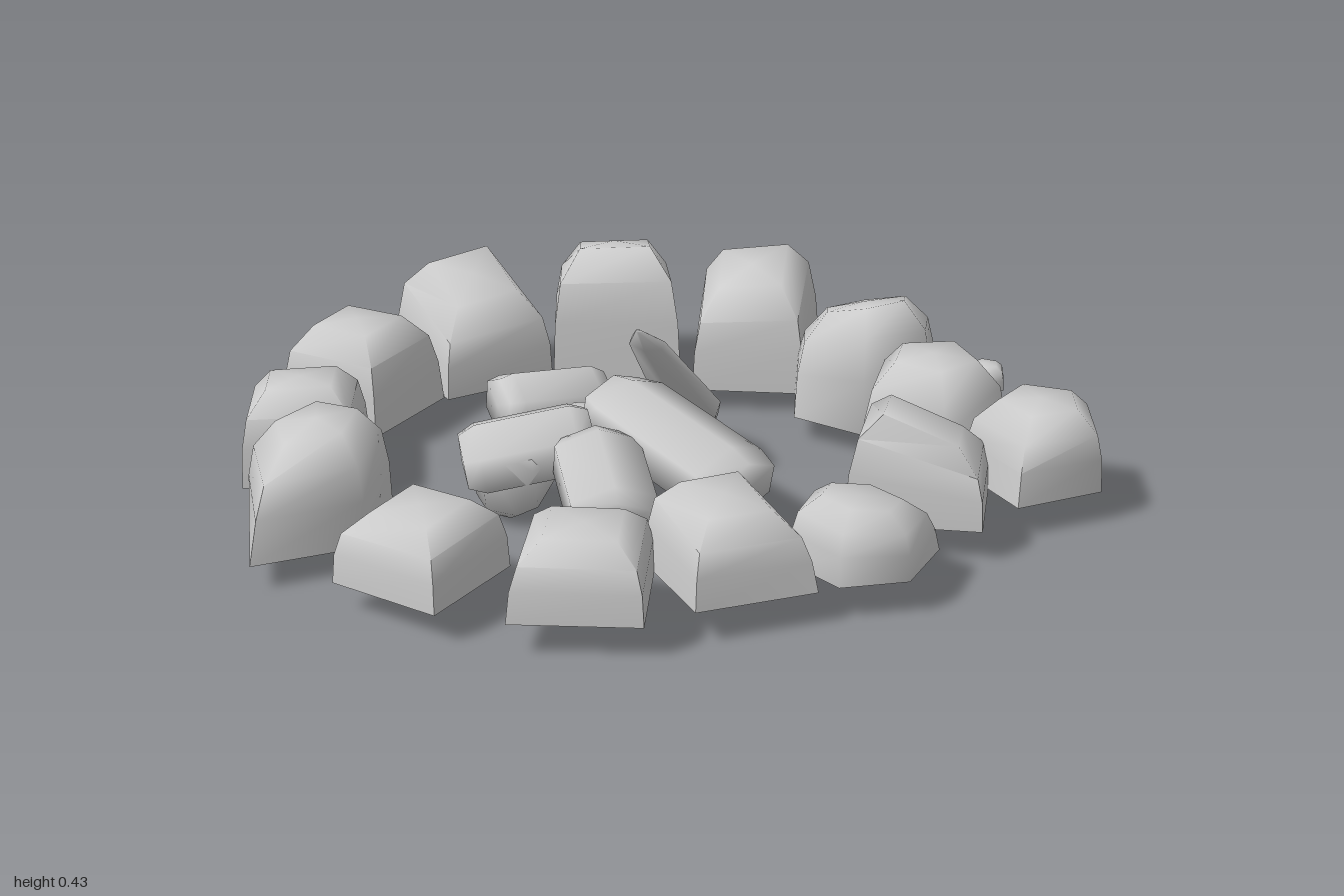
import * as THREE from 'three';
import { toCreasedNormals } from 'three/addons/utils/BufferGeometryUtils.js';

const material = new THREE.MeshStandardMaterial({ color: 0xcccccc, side: THREE.DoubleSide });

function part(name, geometry) {
  const mesh = new THREE.Mesh(toCreasedNormals(geometry, 1.35), material);
  mesh.name = name;
  return mesh;
}

// Stone shell, open underneath: a polygon with one drawn-out corner (at angle turn),
// raised through shrinking rings to a sloped top
function stone(name, base, [x, z, radius, turn, sides, stretch, top, slopeX = 0, slopeZ = 0]) {
  const rings = [[0, 1], [0.42, 0.97], [0.72, 0.88], [0.97, 0.56], [1, 0]]; // height share, width share
  const pos = [], index = [];
  rings.forEach(([h, w], r) => {
    for (let i = 0; i < sides; i++) {
      const angle = THREE.MathUtils.degToRad(turn + (i * 360) / sides);
      const reach = w * radius * (i === 0 ? 1 + stretch * (1 - 0.6 * h) : 1);
      const dx = reach * Math.cos(angle), dz = reach * Math.sin(angle);
      pos.push(x + dx, base + h * (top - base + slopeX * dx + slopeZ * dz), z + dz);
      if (r === 0) continue;
      const a = (r - 1) * sides + i, b = (r - 1) * sides + (i + 1) % sides;
      index.push(a, a + sides, b);
      if (w > 0) index.push(b, a + sides, b + sides);
    }
  });
  const geo = new THREE.BufferGeometry();
  geo.setAttribute('position', new THREE.Float32BufferAttribute(pos, 3));
  geo.setIndex(index);
  return part(name, geo);
}

// Long six-sided block with bevelled ends lying between two points
function block(name, from, to, width, height, startWidth = 0.78, endWidth = 0.78, shoulder = 1) {
  const a = new THREE.Vector3(...from), b = new THREE.Vector3(...to);
  const profile = [[0, -0.5], [startWidth, -0.49], [1, -0.36], [shoulder, 0.36], [endWidth, 0.49], [0, 0.5]]
    .map(([r, y]) => new THREE.Vector2(r / 2, y));
  const mesh = part(name, new THREE.LatheGeometry(profile, 6));
  const dir = b.clone().sub(a).normalize();
  const side = new THREE.Vector3(0, 1, 0).cross(dir).normalize();
  mesh.quaternion.setFromRotationMatrix(
    new THREE.Matrix4().makeBasis(side, dir, side.clone().cross(dir)));
  mesh.scale.set(width, a.distanceTo(b), height);
  mesh.position.copy(a).add(b).multiplyScalar(0.5);
  return mesh;
}

export function createModel() {
  const model = new THREE.Group();
  model.name = 'stoneRing';

  // Outer ring: x, z, radius, turn, sides, corner stretch, top height, top slopes
  const ring = new THREE.Group();
  ring.name = 'outerRing';
  [
    [-0.04, -0.73, 0.215, 45, 4, 0, 0.31, 0.1, -0.4],
    [0.32, -0.62, 0.225, 74, 4, 0.08, 0.37, -0.1, 0.25],
    [0.57, -0.34, 0.2, -10, 4, 0.26, 0.35, 0.25, -0.2],
    [0.69, 0, 0.195, 4, 6, 0.15, 0.34, 0, 0.35],
    [0.67, 0.32, 0.185, -28, 5, 0.15, 0.32],
    [0.8, 0.57, 0.175, 139, 5, 0.18, 0.27],
    [0.48, 0.55, 0.215, 175, 4, 0.08, 0.28, -0.4, -0.15],
    [0.18, 0.73, 0.16, 19, 6, 0.18, 0.23, -0.15],
    [-0.13, 0.66, 0.18, 50, 4, 0.22, 0.28, 0, -0.2],
    [-0.43, 0.58, 0.2, 170, 4, 0.08, 0.25],
    [-0.69, 0.31, 0.197, 18, 4, 0, 0.24, 0.05],
    [-0.77, -0.06, 0.175, 150, 5, 0.52, 0.32, 0.14],
    [-0.67, -0.39, 0.195, -18, 4, 0.1, 0.28, 0, 0.1],
    [-0.41, -0.64, 0.195, 13, 4, 0.12, 0.29],
  ].forEach((s, i) => ring.add(stone('ringStone' + (i + 1), 0.06 + 0.025 * s[1], s)));

  // Heap in the middle
  const heap = new THREE.Group();
  heap.name = 'centreHeap';
  heap.add(
    block('longBlock', [-0.05, 0.24, 0.01], [0.06, 0.15, 0.45], 0.25, 0.17, 0.78, 0.85),
    block('leftBlock', [-0.42, 0.14, -0.035], [-0.13, 0.19, 0.08], 0.25, 0.17),
    block('backBlock', [-0.22, 0.16, -0.245], [0.06, 0.14, -0.215], 0.21, 0.16, 0.85),
    block('frontBlock', [-0.17, 0.2, 0.15], [-0.25, 0.12, 0.4], 0.23, 0.16),
    block('sunkenBlock', [-0.3, 0.2, 0.02], [-0.325, 0.003, 0], 0.25, 0.25, 0.8, 0.3, 0.6),
    block('leaningSplinter', [0.27, 0.08, -0.11], [-0.01, 0.43, 0.08], 0.18, 0.08, 0.7, 0.1, 0.55),
    stone('smallHeapStone', 0.07, [-0.07, -0.07, 0.08, 20, 6, 0, 0.19]),
    stone('smallerHeapStone', 0.08, [-0.18, -0.06, 0.05, 0, 5, 0, 0.15]));

  // Loose pebbles beside the ring
  const pebbles = new THREE.Group();
  pebbles.name = 'loosePebbles';
  pebbles.add(
    stone('backPebble', 0.115, [0.73, -0.19, 0.055, 12, 5, 0, 0.175]),
    stone('frontPebble', 0.125, [0.942, 0.175, 0.058, 0, 5, 0, 0.185]),
    stone('tinyPebble', 0.15, [0.945, 0.1, 0.013, 0, 5, 0, 0.17]));

  model.add(ring, heap, pebbles);
  return model;
}
